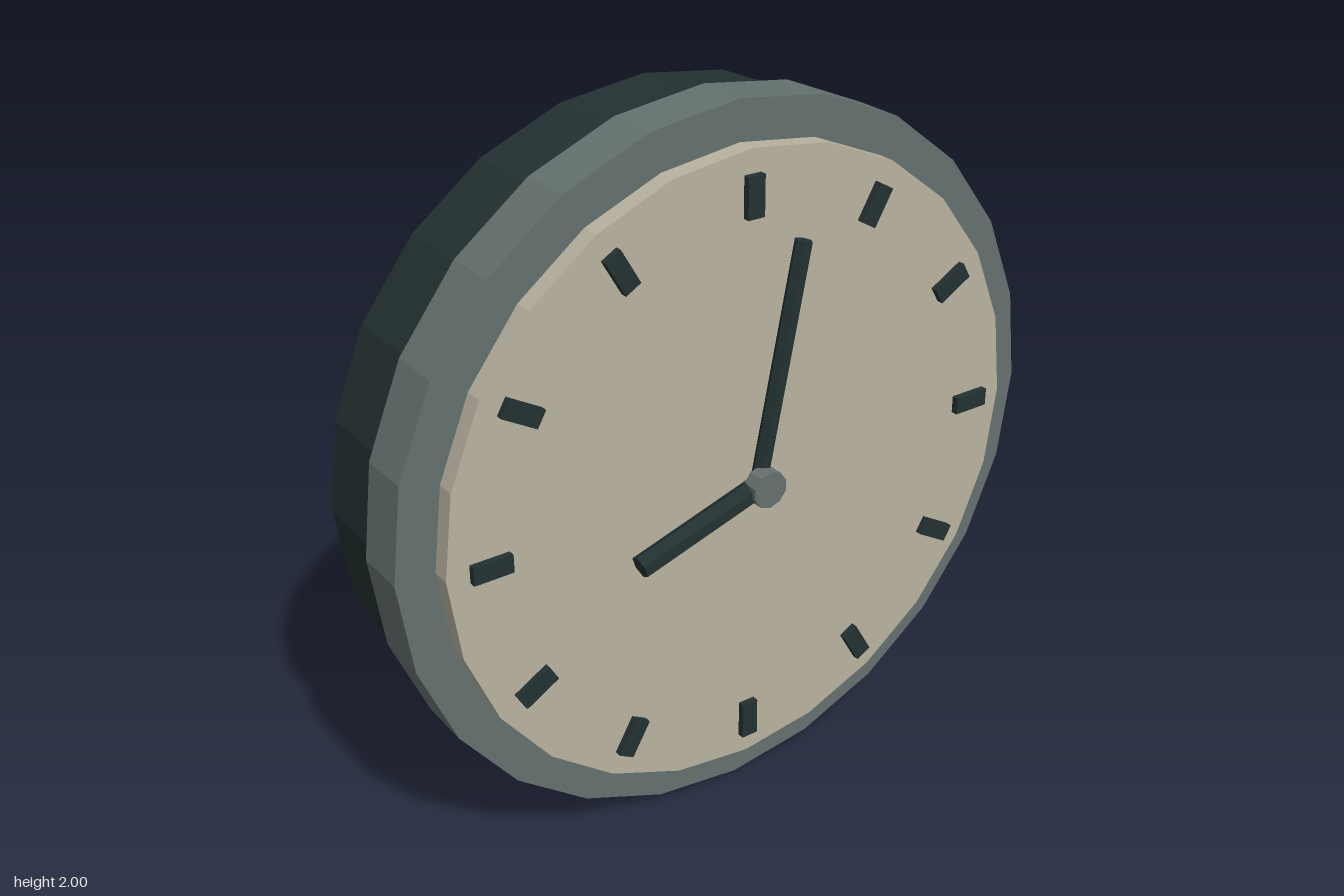
import * as THREE from 'three';

const mat = (name, color) => {
  const m = new THREE.MeshStandardMaterial({ color, flatShading: true });
  m.name = name;
  return m;
};

export function createModel() {
  const clock = new THREE.Group();
  clock.name = 'wallClock';
  const dark = mat('darkSlate', 0x233031);
  const grey = mat('greyGreen', 0x65726f);
  const cream = mat('cream', 0xb8b2a0);

  const add = (name, geometry, material, parent = clock) => {
    const mesh = new THREE.Mesh(geometry, material);
    mesh.name = name;
    parent.add(mesh);
    return mesh;
  };

  // Faceted disc facing +z between two depths
  const disc = (name, radius, back, front, sides, material) => {
    const g = new THREE.CylinderGeometry(radius, radius, front - back, sides);
    g.rotateX(Math.PI / 2);
    add(name, g, material).position.set(0, 1, (back + front) / 2);
  };
  disc('backCase', 0.965, -0.279, -0.018, 24, dark);
  disc('rim', 1, -0.018, 0.133, 24, grey);
  disc('dial', 0.892, 0.133, 0.185, 24, cream);
  disc('hub', 0.052, 0.232, 0.279, 10, grey);

  // Twelve hour markers
  const markers = new THREE.Group();
  markers.name = 'hourMarkers';
  markers.position.set(0, 1, 0.194);
  clock.add(markers);
  const markerGeometry = new THREE.BoxGeometry(0.05, 0.11, 0.02);
  markerGeometry.translate(0, 0.773, 0);
  for (let i = 0; i < 12; i++) {
    add('hourMarker', markerGeometry, dark, markers).rotation.z = -i * Math.PI / 6;
  }

  // Six-sided rod hands running from the centre to a tip
  const hand = (name, tipX, tipY, radius, z) => {
    const length = Math.hypot(tipX, tipY);
    const g = new THREE.CylinderGeometry(radius, radius, length, 6, 1, false, Math.PI / 2);
    g.translate(0, length / 2, 0);
    const mesh = add(name, g, dark);
    mesh.position.set(0, 1, z);
    mesh.rotation.z = Math.atan2(-tipX, tipY);
  };
  hand('minuteHand', 0.129, 0.642, 0.024, 0.227);
  hand('hourHand', -0.38, -0.117, 0.032, 0.238);

  return clock;
}
